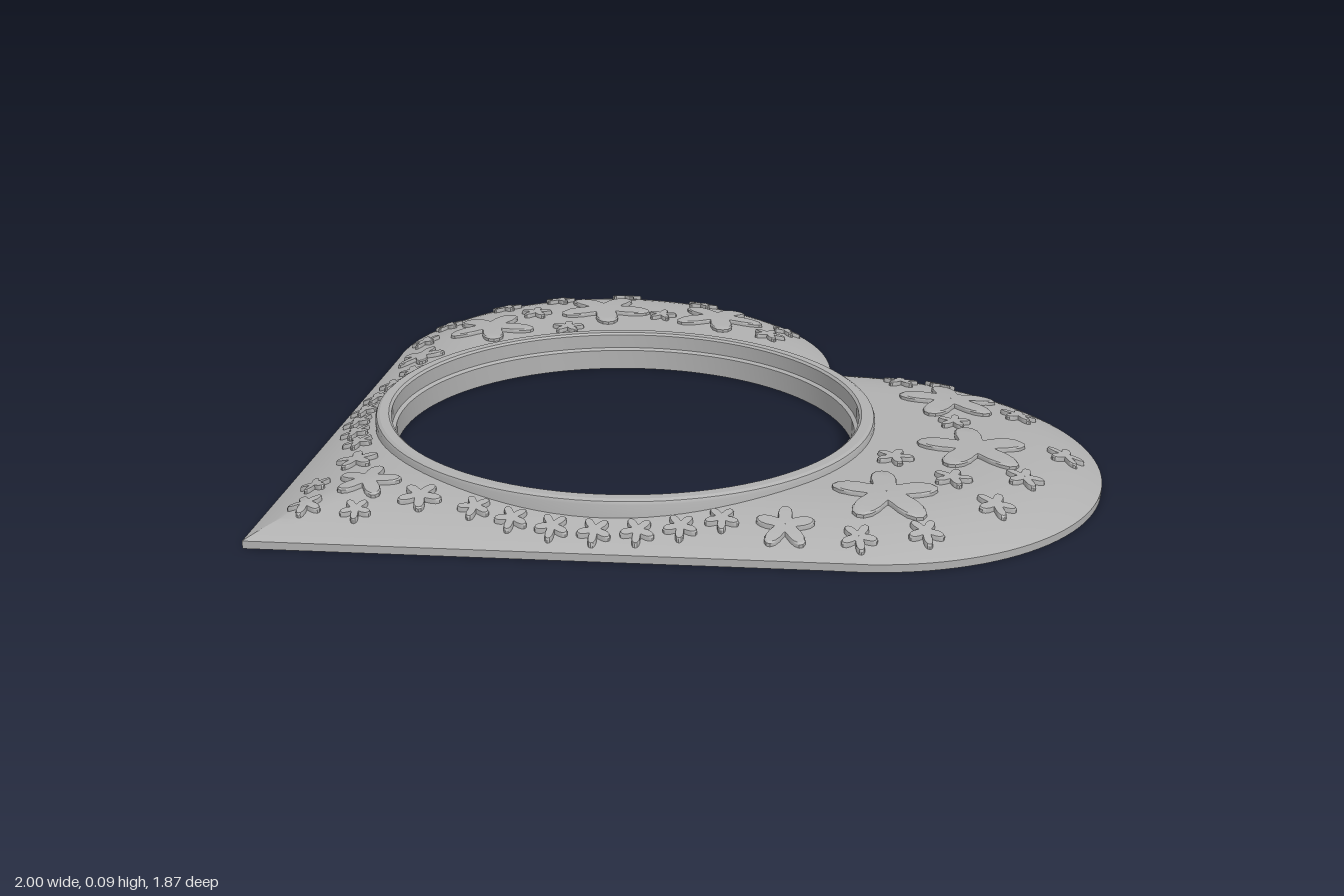
import * as THREE from 'three';
import { toCreasedNormals } from 'three/addons/utils/BufferGeometryUtils.js';

const CZ = -0.07;                                   // centre of the round opening
const LOBE = new THREE.Vector2(0.43, -0.37), LOBE_R = 0.57;
const TIP = new THREE.Vector2(0, 0.93), CLEFT = new THREE.Vector2(0, -0.744);
const TANGENT = new THREE.Vector2(0.847, 0.017);    // where lobe meets straight side
const SIDE = TANGENT.clone().sub(TIP);
const SIDE_LEN = SIDE.length();
SIDE.normalize();
const FLOOR = 0.012;                                // shallow recess underneath

// Distance from an inner point to the heart's edge
function edgeDistance(x, z) {
  const p = new THREE.Vector2(Math.abs(x), z);
  const s = THREE.MathUtils.clamp(p.clone().sub(TIP).dot(SIDE), 0, SIDE_LEN);
  let d = Math.min(p.distanceTo(CLEFT), p.distanceTo(TIP.clone().addScaledVector(SIDE, s)));
  const out = p.clone().sub(LOBE);
  const foot = LOBE.x + out.x / (out.length() || 1) * LOBE_R;
  if (foot >= 0 && p.clone().sub(TANGENT).dot(SIDE) > 0) d = Math.min(d, Math.abs(LOBE_R - out.length()));
  return d;
}

// Domed upper surface, falling away towards the edge
function domeHeight(x, z) {
  const t = Math.min(1, edgeDistance(x, z) / 0.28);
  return 0.017 + 0.058 * (1 - Math.pow(1 - t, 2.5));
}

// Heart outline: cleft, right lobe, tip, then mirrored back
function heartOutline() {
  const half = [], a0 = Math.atan2(CLEFT.y - LOBE.y, -LOBE.x);
  const a1 = Math.atan2(TANGENT.y - LOBE.y, TANGENT.x - LOBE.x);
  for (let i = 0; i <= 60; i++) {
    const a = a0 + (a1 - a0) * i / 60;
    half.push([Math.max(0, LOBE.x + LOBE_R * Math.cos(a)), LOBE.y + LOBE_R * Math.sin(a)]);
  }
  for (let i = 1; i <= 24; i++) {
    const p = TANGENT.clone().lerp(TIP, i / 24);
    half.push([p.x, p.y]);
  }
  return half.concat(half.slice(1, -1).reverse().map(([x, z]) => [-x, z]));
}

// Closed loops of points joined row by row
function loft(rows, cols, point, skip = () => false, crease = 0.5) {
  const pos = [], index = [];
  for (let j = 0; j < rows; j++) for (let i = 0; i < cols; i++) pos.push(...point(j, i));
  for (let j = 0; j < rows - 1; j++) for (let i = 0; i < cols; i++) {
    if (skip(j, i)) continue;
    const a = j * cols + i, b = j * cols + (i + 1) % cols;
    index.push(a, b, a + cols, b, b + cols, a + cols);
  }
  const g = new THREE.BufferGeometry();
  g.setAttribute('position', new THREE.Float32BufferAttribute(pos, 3));
  g.setIndex(index);
  return toCreasedNormals(g, crease);
}

// Five-petalled flower lying on a surface; dir is +1 above, -1 below
function flowerGeometry(cx, cz, radius, turn, surface, dir) {
  const scale = [0.01, 0.35, 0.68, 0.94, 1, 1], lift = [0.01, 0.01, 0.01, 0.01, 0.007, -0.004];
  return loft(6, 50, (j, i) => {
    const a = dir * i / 50 * Math.PI * 2, c = Math.cos(5 * a);
    const r = radius * scale[j] * (0.72 + 0.3 * c - 0.05 * c * c);
    const x = cx + r * Math.cos(a + turn), z = cz + r * Math.sin(a + turn);
    return [x, surface(x, z) + dir * lift[j] * (dir > 0 ? 1 : 0.8), z];
  });
}

export function createModel() {
  const group = new THREE.Group();
  const grey = new THREE.MeshStandardMaterial({ color: 0xb0b0b0, side: THREE.DoubleSide });
  grey.name = 'grey';
  const add = (name, geometry, parent = group) => {
    const m = new THREE.Mesh(geometry, grey);
    m.name = name;
    parent.add(m);
    return m;
  };

  // Heart plate: section from opening over the dome, down the edge, back underneath
  const outline = heartOutline(), N = outline.length, TOP = 16;
  const section = (j, i) => {
    const [ox, oz] = outline[i];
    const R = Math.hypot(ox, oz - CZ), r0 = 0.565;
    let r = R, y = null;
    if (j <= TOP) r = r0 + (R - r0) * (1 - Math.pow(1 - j / TOP, 1.6));
    else [r, y] = [[R, 0], [R - 0.025, 0], [R - 0.027, FLOOR], [r0, FLOOR]][j - TOP - 1];
    const x = ox * r / R, z = CZ + (oz - CZ) * r / R;
    return [x, y ?? domeHeight(x, z), z];
  };
  const inWedge = i => i < 2 || i >= N - 2;
  add('heartPlate', loft(TOP + 5, N, section, (j, i) => inWedge(i) && j !== TOP));

  // Patch below the cleft, pierced by the hanging hole
  const HOLE_Z = -0.705, HOLE_R = 0.02;
  const patch = (from, to, height) => {
    const pts = [], edge = from < TOP ? to : from;
    for (let j = from; j <= to; j++) pts.push(section(j, 2));
    const across = j => [1, 0, N - 1].map(i => section(j, i));
    if (edge === to) pts.push(...across(to));
    for (let j = to; j >= from; j--) pts.push(section(j, N - 2));
    if (edge === from) pts.push(...across(from).reverse());
    const shape = new THREE.Shape(pts.map(p => new THREE.Vector2(p[0], -p[2])));
    shape.holes.push(new THREE.Path().absarc(0, -HOLE_Z, HOLE_R, 0, Math.PI * 2, true));
    const g = new THREE.ShapeGeometry(shape, 16).rotateX(-Math.PI / 2);
    const p = g.attributes.position;
    for (let k = 0; k < p.count; k++) p.setY(k, height(p.getX(k), p.getZ(k)));
    if (from > TOP) {
      const ix = g.index.array;
      for (let k = 0; k < ix.length; k += 3) [ix[k], ix[k + 1]] = [ix[k + 1], ix[k]];
    }
    g.computeVertexNormals();
    return g;
  };
  add('cleftTop', patch(0, TOP, domeHeight));
  add('cleftUnderside', patch(TOP + 1, TOP + 4, (x, z) => edgeDistance(x, z) < 0.018 ? 0 : FLOOR));
  add('hangingHoleWall', new THREE.CylinderGeometry(HOLE_R, HOLE_R, 0.024, 24, 1, true))
    .position.set(0, 0.022, HOLE_Z);

  // Raised ring with a stepped inner wall
  const profile = [[0.537, 0], [0.575, 0], [0.583, 0.008], [0.583, 0.084], [0.58, 0.091], [0.573, 0.095],
    [0.552, 0.095], [0.546, 0.09], [0.546, 0.055], [0.537, 0.05], [0.537, 0]];
  const ring = new THREE.LatheGeometry(profile.map(p => new THREE.Vector2(...p)), 96);
  add('openingRing', toCreasedNormals(ring, 0.5)).position.z = CZ;

  // Flowers in relief, mirrored left and right: x, z, radius
  const flowers = [
    [0.42, -0.73, 0.125], [0.67, -0.53, 0.13], [0.73, -0.19, 0.12], [0.69, 0.06, 0.065],
    [0.24, -0.75, 0.045], [0.28, -0.85, 0.04], [0.57, -0.8, 0.045], [0.53, -0.62, 0.04],
    [0.79, -0.7, 0.045], [0.84, -0.5, 0.045], [0.89, -0.35, 0.045], [0.76, -0.36, 0.045],
    [0.6, -0.35, 0.045], [0.88, -0.15, 0.04], [0.81, -0.03, 0.04], [0.13, 0.58, 0.05], [0.085, 0.71, 0.035],
  ];
  for (let deg = 20; deg <= 68; deg += 8) {
    const a = deg * Math.PI / 180;
    flowers.push([0.63 * Math.cos(a), CZ + 0.63 * Math.sin(a), 0.038]);
  }
  const upper = new THREE.Group(), lower = new THREE.Group();
  upper.name = 'upperFlowers';
  lower.name = 'undersideFlowers';
  group.add(upper, lower);
  const plant = (x, z, r, turn) => {
    add('flower', flowerGeometry(x, z, r, turn, domeHeight, 1), upper);
    add('flower', flowerGeometry(x, z, r, turn, () => FLOOR, -1), lower);
  };
  flowers.forEach(([x, z, r], k) => {
    plant(x, z, r, k * 1.3);
    plant(-x, z, r, Math.PI - k * 1.3);
  });
  plant(0, 0.63, 0.075, Math.PI / 2);
  plant(0, 0.78, 0.04, -Math.PI / 2);
  return group;
}
